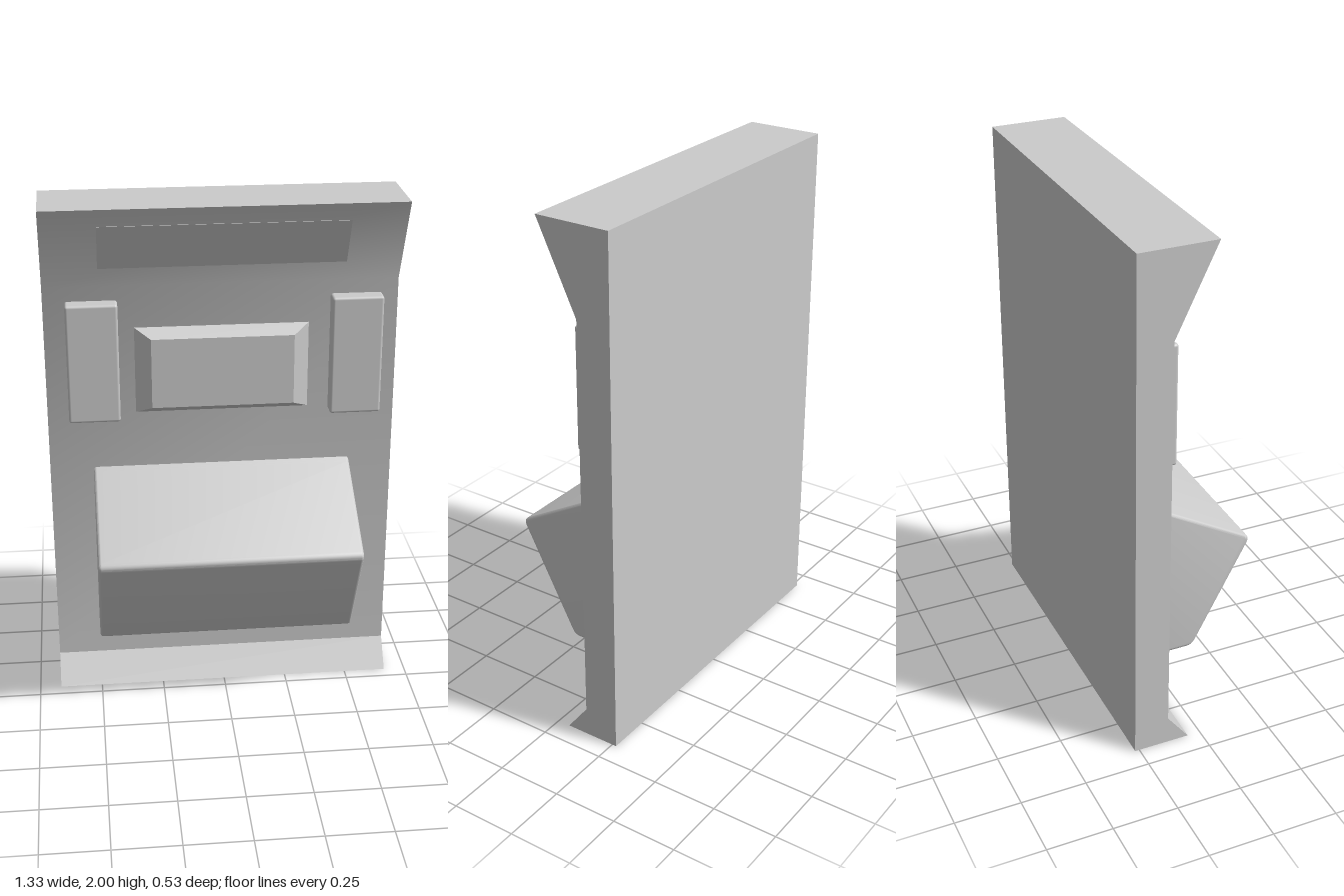
import * as THREE from 'three';
import { toCreasedNormals } from 'three/addons/utils/BufferGeometryUtils.js';
import { RoundedBoxGeometry } from 'three/addons/geometries/RoundedBoxGeometry.js';

const grey = new THREE.MeshStandardMaterial({ color: 0xcccccc });

function part(name, geometry) {
  const mesh = new THREE.Mesh(geometry, grey);
  mesh.name = name;
  return mesh;
}

// Shape from [z, y] points, with corners optionally rounded
function profile(points, r = 0) {
  const shape = new THREE.Shape();
  const pts = points.map(p => new THREE.Vector2(...p));
  pts.forEach((p, i) => {
    const toward = q => q.clone().sub(p).setLength(r).add(p);
    const a = toward(pts[(i + pts.length - 1) % pts.length]);
    const b = toward(pts[(i + 1) % pts.length]);
    if (i === 0) shape.moveTo(a.x, a.y);
    else shape.lineTo(a.x, a.y);
    if (r > 0) shape.quadraticCurveTo(p.x, p.y, b.x, b.y);
  });
  shape.closePath();
  return shape;
}

// Sweep a side profile across the given width in x
function sweep(shape, width, bevel = 0) {
  const geo = new THREE.ExtrudeGeometry(shape, {
    depth: width - 2 * bevel, curveSegments: 6,
    bevelEnabled: bevel > 0, bevelSize: bevel, bevelThickness: bevel,
    bevelOffset: -bevel, bevelSegments: 4,
  });
  geo.translate(0, 0, bevel - width / 2);
  geo.rotateY(-Math.PI / 2);
  return toCreasedNormals(geo, 0.5);
}

export function createModel() {
  const group = new THREE.Group();

  // Back slab with an overhanging top and a flared foot
  group.add(part('backPanel', sweep(profile([
    [-0.267, 0], [-0.05, 0], [-0.133, 0.11], [-0.133, 1.67], [0.025, 2], [-0.267, 2],
  ]), 1.333)));

  // Thin sign lying on the slope of the overhang
  const slope = y => -0.133 + (y - 1.67) * 0.158 / 0.33;
  group.add(part('signPlate', sweep(profile([
    [slope(1.75) - 0.02, 1.75], [slope(1.75) + 0.004, 1.75],
    [slope(1.93) + 0.004, 1.93], [slope(1.93) - 0.02, 1.93],
  ]), 0.92)));

  // Two upright blocks beside the screen
  for (const [name, x] of [['rightBlock', -0.488], ['leftBlock', 0.508]]) {
    const block = part(name, new RoundedBoxGeometry(0.195, 0.465, 0.125, 3, 0.01));
    block.position.set(x, 1.382, -0.1375);
    group.add(block);
  }

  // Raised screen: a box whose front face is drawn in on all sides
  const box = new THREE.BoxGeometry(0.66, 0.34, 0.05);
  const pos = box.attributes.position;
  for (let i = 0; i < pos.count; i++) {
    if (pos.getZ(i) > 0) pos.setXY(i, Math.sign(pos.getX(i)) * 0.27, Math.sign(pos.getY(i)) * 0.137);
  }
  box.computeVertexNormals();
  const screen = part('screen', box);
  screen.position.set(0, 1.335, -0.108);
  group.add(screen);

  // Wedge-shaped console with softened edges, its back sunk into the slab
  group.add(part('console', sweep(profile([
    [-0.2, 0.277], [0.045, 0.277], [0.275, 0.708], [-0.133, 0.94], [-0.2, 0.978],
  ], 0.025), 1, 0.012)));

  return group;
}
